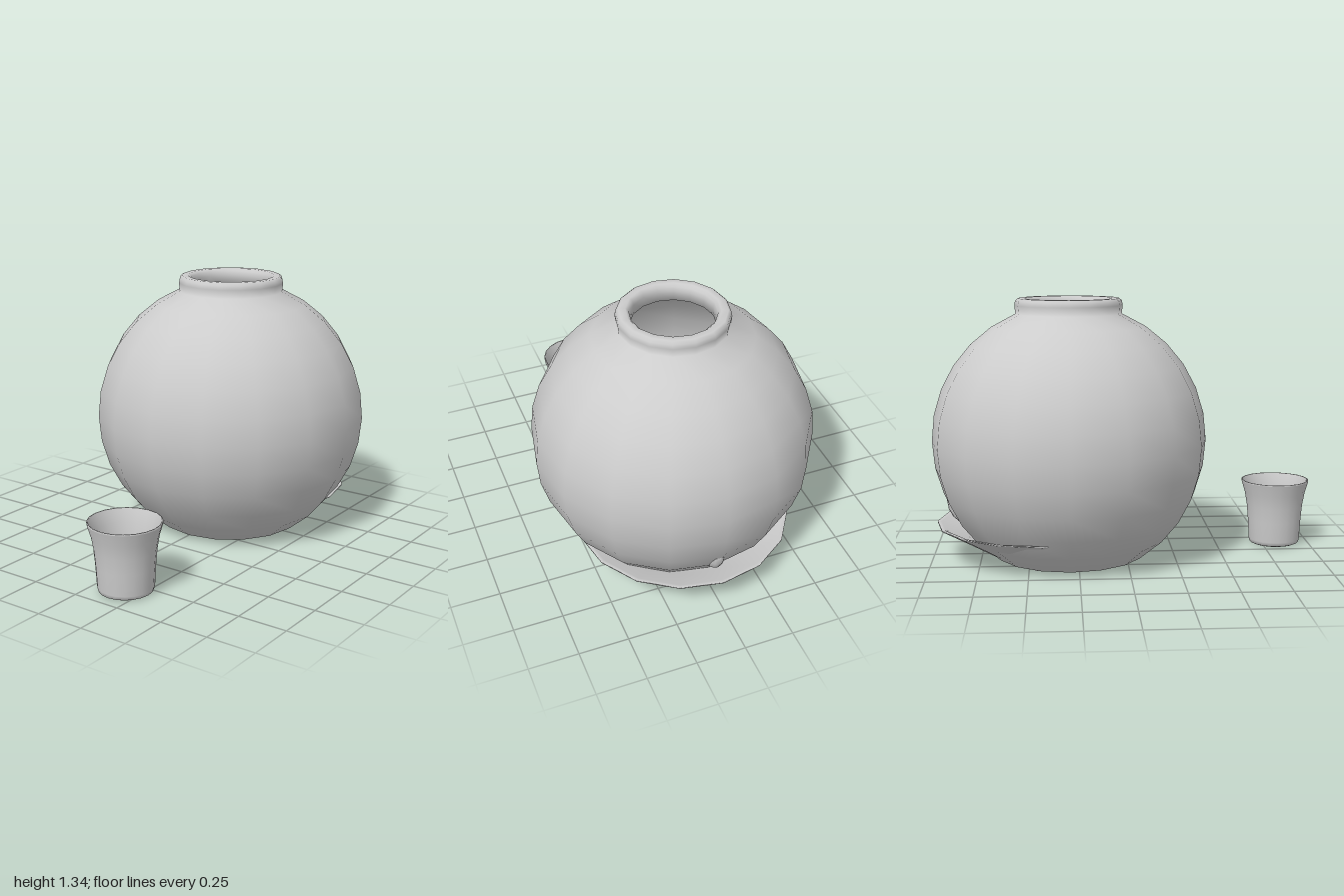
import * as THREE from 'three';

export function createModel() {
  const model = new THREE.Group();
  const clay = new THREE.MeshStandardMaterial({ color: 0xcccccc });
  clay.name = 'pale grey clay';

  const add = (parent, name, geometry, x = 0, y = 0, z = 0) => {
    const mesh = new THREE.Mesh(geometry, clay);
    mesh.name = name;
    mesh.position.set(x, y, z);
    parent.add(mesh);
    return mesh;
  };
  const lathe = (points, segments) =>
    new THREE.LatheGeometry(points.map(([r, y]) => new THREE.Vector2(r, y)), segments);
  const addGroup = (name, x, z) => {
    const g = new THREE.Group();
    g.name = name;
    g.position.set(x, 0, z);
    model.add(g);
    return g;
  };

  // Round jar: outer wall, rolled neck and inner wall in one profile
  const jar = addGroup('jar', 0.29, 0);
  const step = Math.PI / 16;
  const ball = (r, from, to) => {
    const pts = [];
    const dir = Math.sign(to - from);
    for (let i = from; i !== to + dir; i += dir) {
      pts.push([r * Math.cos(i * step), 0.6 + r * Math.sin(i * step)]);
    }
    return pts;
  };
  add(jar, 'jarWall', lathe([
    [0.385, 0.002],
    ...ball(0.71, -5, 6),
    [0.276, 1.3], [0.272, 1.322], [0.258, 1.335],
    [0.225, 1.335], [0.21, 1.322], [0.205, 1.3], [0.205, 1.25],
    ...ball(0.675, 6, -5),
    [0, 0.035],
  ], 16));
  add(jar, 'jarBase', lathe([[0, 0.002], [0.385, 0.002]], 16));

  // Dish with candle socket, loop handle and three feet, lodged in the jar
  const holder = addGroup('candleHolder', 0.43, 0);
  add(holder, 'dish', lathe([
    [0.22, 0.004], [0.225, 0], [0.25, 0], [0.27, 0.012], [0.4, 0.088], [0.5, 0.145],
    [0.55, 0.173], [0.55, 0.18], [0.53, 0.177], [0.4, 0.12], [0.26, 0.05], [0, 0.045],
  ], 16));
  add(holder, 'dishFoot', lathe([[0, 0.004], [0.22, 0.004]], 16));
  add(holder, 'socket', lathe([
    [0.11, 0.04], [0.08, 0.08], [0.065, 0.2], [0.1, 0.26], [0.105, 0.28],
    [0.075, 0.29], [0.072, 0.33], [0.055, 0.33], [0.05, 0.2], [0, 0.2],
  ], 14));
  add(holder, 'handle', new THREE.TorusGeometry(0.105, 0.035, 10, 18), 0.36, 0.29, 0);
  for (const [x, z] of [[0.23, 0.22], [0.03, -0.33], [-0.26, 0.22]]) {
    const foot = add(holder, 'foot', new THREE.CylinderGeometry(0.028, 0.012, 0.05, 6), x, 0.025, z);
    foot.rotation.y = -Math.atan2(z, x);
  }

  // Small flared cup
  const cup = addGroup('cup', -0.82, 0.16);
  add(cup, 'cupBody', lathe([
    [0, 0], [0.12, 0], [0.132, 0.006], [0.137, 0.025], [0.143, 0.13], [0.15, 0.21],
    [0.162, 0.28], [0.18, 0.34], [0.18, 0.347], [0.173, 0.347], [0.154, 0.28],
    [0.141, 0.21], [0.134, 0.13], [0.128, 0.03], [0.118, 0.02], [0, 0.02],
  ], 20));

  return model;
}
